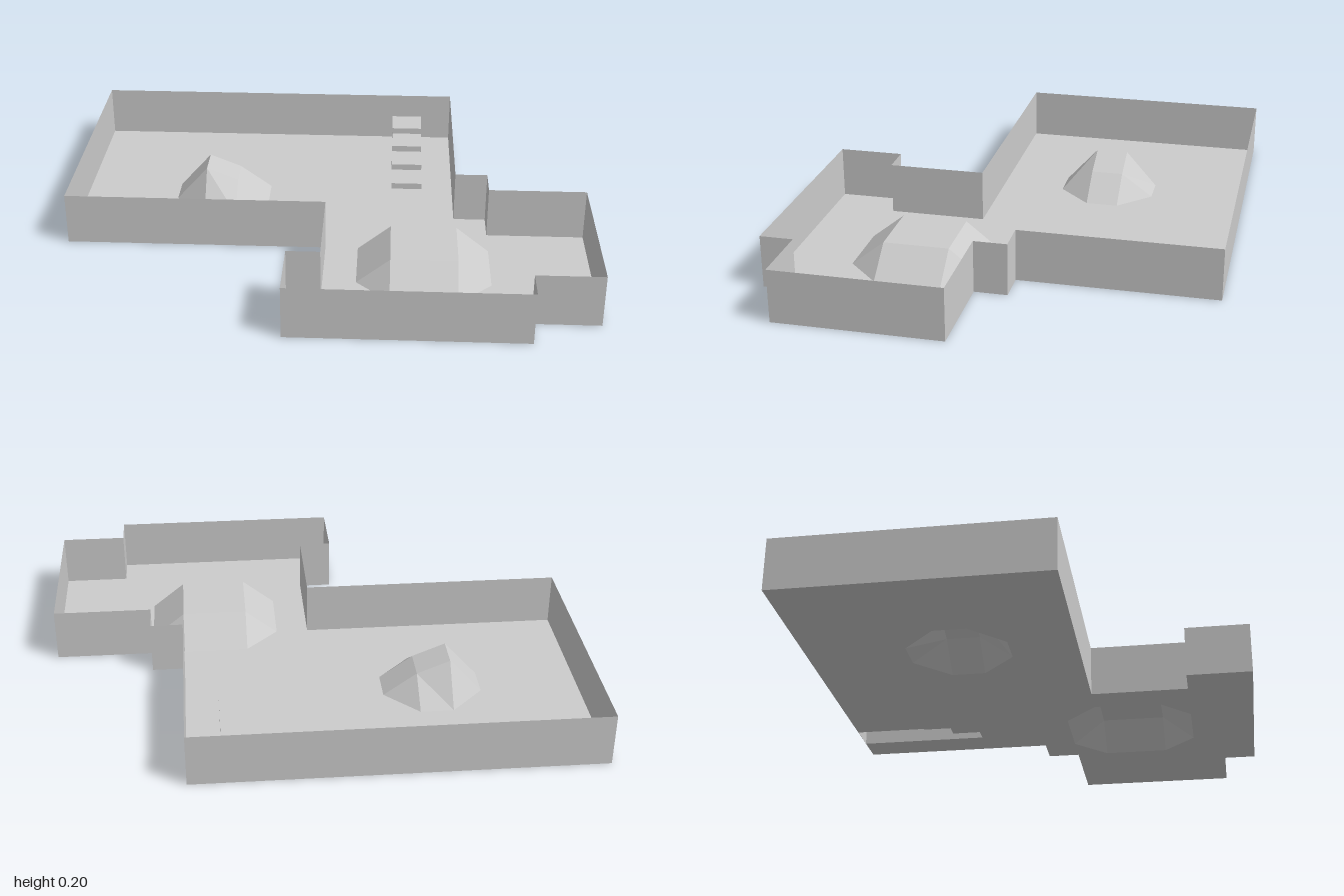
import * as THREE from 'three';

const U = 0.125;          // plan grid cell
const WALL = 0.2;         // wall height
const material = new THREE.MeshStandardMaterial({
  color: 0xcccccc, flatShading: true, side: THREE.DoubleSide,
});

// Room outline as [x, z], walked so that the walls face inward
const outline = [
  [-1, -0.8125], [0.5, -0.8125], [0.5, -0.0625], [0.625, -0.0625], [0.625, 0.0625],
  [1, 0.0625], [1, 0.6875], [0.75, 0.6875], [0.75, 0.8125], [-0.125, 0.8125],
  [-0.125, 0.5625], [0, 0.5625], [0, 0.1875], [-1, 0.1875],
];

// Mesh made of flat convex polygons, each a list of [x, y, z] corners
function polygons(name, faces) {
  const positions = [];
  for (const f of faces) {
    for (let i = 1; i < f.length - 1; i++) positions.push(...f[0], ...f[i], ...f[i + 1]);
  }
  const geometry = new THREE.BufferGeometry();
  geometry.setAttribute('position', new THREE.Float32BufferAttribute(positions, 3));
  geometry.computeVertexNormals();
  const mesh = new THREE.Mesh(geometry, material);
  mesh.name = name;
  return mesh;
}

// Mound with chamfered corners: a raised inner rectangle inside an octagon
function mound(name, x0, z0, size, heightLeft, heightRight) {
  const [x1, x2, x3] = [x0 + U, x0 + size - U, x0 + size];
  const [z1, z2, z3] = [z0 + U, z0 + size - U, z0 + size];
  const top = [
    [x1, heightLeft, z1], [x1, heightLeft, z2],
    [x2, heightRight, z2], [x2, heightRight, z1],
  ];
  const base = [
    [[x1, 0, z0], [x0, 0, z1]], [[x0, 0, z2], [x1, 0, z3]],
    [[x2, 0, z3], [x3, 0, z2]], [[x3, 0, z1], [x2, 0, z0]],
  ];
  const faces = [top];
  for (let i = 0; i < 4; i++) {
    const j = (i + 1) % 4;
    faces.push([top[i], ...base[i]]);                          // corner
    faces.push([top[i], base[i][1], base[j][0], top[j]]);      // side
  }
  return { mesh: polygons(name, faces), hole: base.flat().map(([x, , z]) => [x, z]) };
}

// Four steps climbing to the back wall
function stairs(x0, x1, zBack, count, rise) {
  const faces = [];
  for (let i = 0; i < count; i++) {
    const y = rise * (count - i), a = zBack + i * U, b = a + U;
    faces.push([[x0, y, a], [x0, y, b], [x1, y, b], [x1, y, a]]);                    // tread
    faces.push([[x0, y - rise, b], [x1, y - rise, b], [x1, y, b], [x0, y, b]]);      // riser
    faces.push([[x0, 0, a], [x0, 0, b], [x0, y, b], [x0, y, a]]);                    // cheeks
    faces.push([[x1, 0, b], [x1, 0, a], [x1, y, a], [x1, y, b]]);
  }
  const z1 = zBack + count * U;
  return {
    mesh: polygons('stairs', faces),
    hole: [[x0, zBack], [x0, z1], [x1, z1], [x1, zBack]],
  };
}

// Floor with openings under the raised parts
function floor(holes) {
  const points = (list) => list.map(([x, z]) => new THREE.Vector2(x, -z));
  const shape = new THREE.Shape(points(outline));
  for (const h of holes) shape.holes.push(new THREE.Path(points(h)));
  const geometry = new THREE.ShapeGeometry(shape).rotateX(-Math.PI / 2);
  const mesh = new THREE.Mesh(geometry, material);
  mesh.name = 'floor';
  return mesh;
}

export function createModel() {
  const model = new THREE.Group();
  model.name = 'walledRooms';

  const raised = [
    mound('smallMound', -0.625, -0.4375, 3 * U, 0.14, 0.09),
    mound('largeMound', 0.125, 0.0625, 4 * U, 0.1, 0.1),
    stairs(0.25, 0.375, -0.8125, 4, 0.025),
  ];
  for (const part of raised) model.add(part.mesh);

  // The stairs touch the outline, so their opening is set in by a hair
  const holes = raised.map((part) => part.hole);
  holes[2] = holes[2].map(([x, z]) => [x, Math.max(z, -0.812)]);
  model.add(floor(holes));

  // Thin walls all round
  model.add(polygons('walls', outline.map(([ax, az], i) => {
    const [bx, bz] = outline[(i + 1) % outline.length];
    return [[ax, 0, az], [bx, 0, bz], [bx, WALL, bz], [ax, WALL, az]];
  })));
  return model;
}
